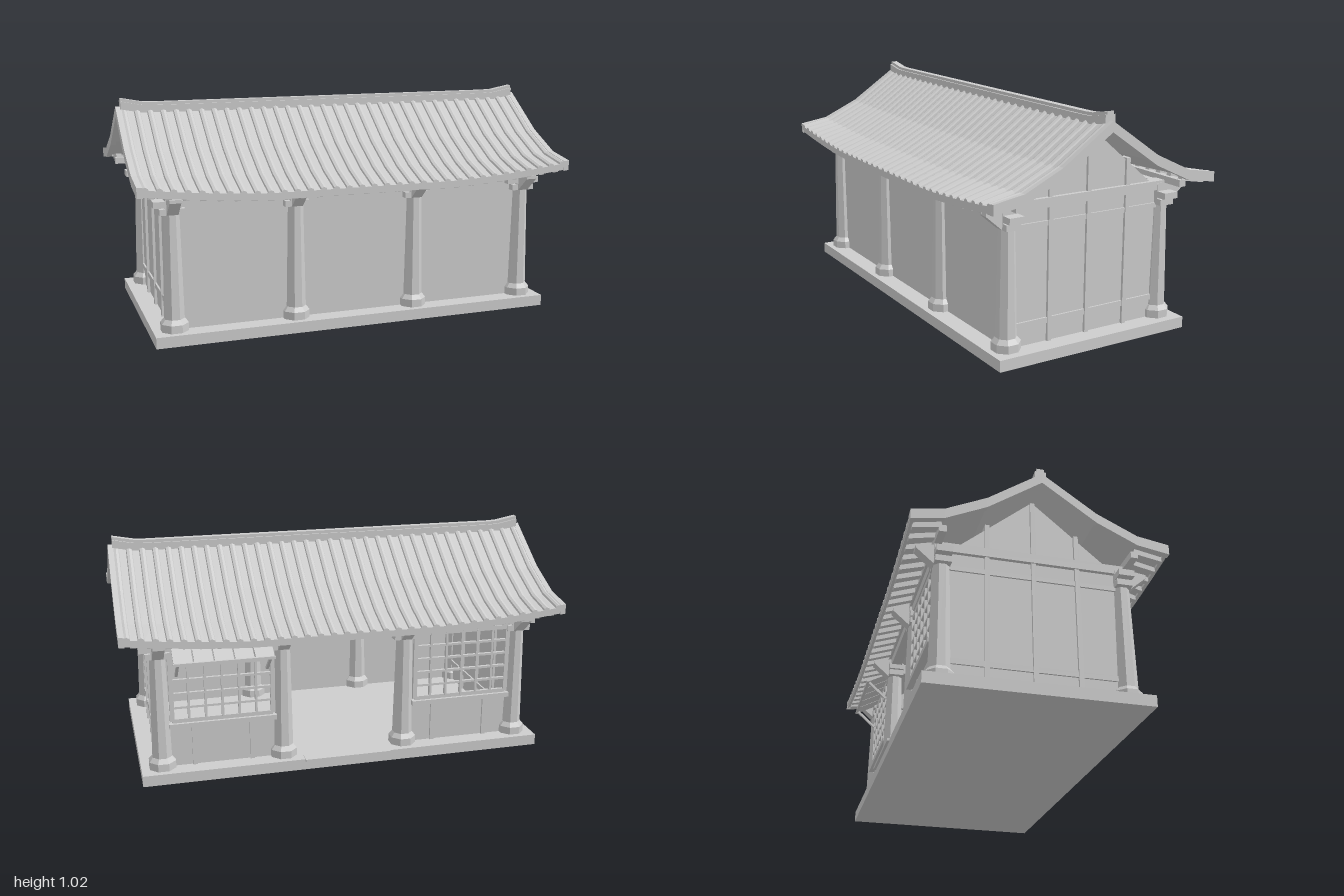
import * as THREE from 'three';

const plaster = new THREE.MeshStandardMaterial({ color: 0xcccccc });
plaster.name = 'pale grey';

export function createModel() {
  const model = new THREE.Group();
  model.name = 'tiledHall';

  const add = (name, geo, parent = model) => {
    const flat = geo.index ? geo.toNonIndexed() : geo;
    flat.computeVertexNormals();
    const mesh = new THREE.Mesh(flat, plaster);
    mesh.name = name;
    parent.add(mesh);
    return mesh;
  };
  // box given by its min and max on each axis
  const box = (name, x0, x1, y0, y1, z0, z1, parent) =>
    add(name, new THREE.BoxGeometry(x1 - x0, y1 - y0, z1 - z0)
      .translate((x0 + x1) / 2, (y0 + y1) / 2, (z0 + z1) / 2), parent);
  // square bar between two points in the y-z plane
  const bar = (name, x, w, h, [z0, y0], [z1, y1], parent) => {
    const g = new THREE.BoxGeometry(w, h, Math.hypot(z1 - z0, y1 - y0));
    g.rotateX(-Math.atan2(y1 - y0, z1 - z0)).translate(x, (y0 + y1) / 2, (z0 + z1) / 2);
    return add(name, g, parent);
  };

  // Base and doorstep
  box('base', -0.93, 0.93, 0, 0.05, -0.475, 0.475);
  box('doorstep', -0.2, 0.2, 0.04, 0.052, -0.487, -0.42);

  // Columns with plinths, capitals and outward brackets
  const bracketShape = new THREE.Shape([[0, 0.565], [0.035, 0.565], [0.11, 0.63], [0.11, 0.645], [0, 0.66]]
    .map(p => new THREE.Vector2(...p)));
  for (const x of [-0.835, -0.285, 0.285, 0.835]) {
    for (const s of [1, -1]) {
      const col = new THREE.Group();
      col.name = 'column';
      col.position.set(x, 0, s * 0.39);
      if (s < 0) col.rotation.y = Math.PI;
      model.add(col);
      const oct = (name, rTop, rBottom, y0, y1) =>
        add(name, new THREE.CylinderGeometry(rTop, rBottom, y1 - y0, 8)
          .rotateY(Math.PI / 8).translate(0, (y0 + y1) / 2, 0), col);
      oct('plinth', 0.063, 0.063, 0.05, 0.085);
      oct('plinthCollar', 0.046, 0.063, 0.085, 0.105);
      oct('shaft', 0.036, 0.046, 0.1, 0.57);
      const wide = Math.abs(x) > 0.5 ? 0.08 : 0.058;
      box('capitalBlock', -0.055, 0.055, 0.565, 0.592, -0.035, 0.035, col);
      box('capitalArm', -wide, wide, 0.597, 0.625, -0.035, 0.035, col);
      box('capitalCore', -0.03, 0.03, 0.565, 0.66, -0.035, 0.035, col);
      add('bracket', new THREE.ExtrudeGeometry(bracketShape, { depth: 0.05, bevelEnabled: false })
        .translate(0, 0, -0.025).rotateY(-Math.PI / 2), col);
    }
    // Cross beams between front and back columns
    if (Math.abs(x) < 0.5) box('crossBeam', x - 0.02, x + 0.02, 0.59, 0.64, -0.39, 0.39);
  }

  // Front wall and long beams
  box('frontWall', -0.835, 0.835, 0.05, 0.63, 0.375, 0.39);
  for (const s of [1, -1]) {
    box('wallPlate', -0.86, 0.86, 0.62, 0.665, s * 0.39 - 0.025, s * 0.39 + 0.025);
    box('purlin', -0.96, 0.96, 0.658, 0.688, s * 0.41 - 0.016, s * 0.41 + 0.016);
  }

  // End walls with timber framing and gables
  const gable = new THREE.Shape([[-0.33, 0.665], [0.33, 0.665], [0, 0.94]].map(p => new THREE.Vector2(...p)));
  for (const s of [1, -1]) {
    const c = s * 0.835;
    box('endWall', c - 0.01, c + 0.01, 0.05, 0.665, -0.39, 0.39);
    add('gable', new THREE.ExtrudeGeometry(gable, { depth: 0.02, bevelEnabled: false })
      .translate(0, 0, -0.01).rotateY(-Math.PI / 2).translate(c, 0, 0));
    for (const [z, top] of [[0.19, 0.793], [0, 0.93], [-0.2, 0.788]])
      box('endStud', c - 0.022, c + 0.022, 0.05, top, z - 0.01, z + 0.01);
    for (const [y0, y1] of [[0.13, 0.155], [0.55, 0.572]])
      box('endRail', c - 0.018, c + 0.018, y0, y1, -0.37, 0.37);
    box('endBeam', c - 0.028, c + 0.028, 0.63, 0.67, -0.4, 0.4);
  }

  // Back bays: low wall, sill and open lattice window
  const latticeBars = (name, x0, x1, y0, y1, z, nx, ny, parent) => {
    for (let i = 0; i <= nx; i++) {
      const x = x0 + (x1 - x0) * i / nx, w = i % nx ? 0.005 : 0.01;
      box(name, x - w, x + w, y0, y1, z - 0.008, z + 0.008, parent);
    }
    for (let j = 0; j <= ny; j++) {
      const y = y0 + (y1 - y0) * j / ny, w = j % ny ? 0.005 : 0.01;
      box(name, x0, x1, y - w, y + w, z - 0.007, z + 0.007, parent);
    }
  };
  for (const s of [1, -1]) {
    const c = s * 0.56;
    const bay = new THREE.Group();
    bay.name = 'windowBay';
    model.add(bay);
    box('lowWall', c - 0.26, c + 0.26, 0.05, 0.25, -0.395, -0.38, bay);
    box('sill', c - 0.24, c + 0.24, 0.24, 0.262, -0.43, -0.375, bay);
    for (const d of [-0.13, 0.13]) box('lowStud', c + d - 0.01, c + d + 0.01, 0.05, 0.25, -0.405, -0.38, bay);
    box('lintel', c - 0.25, c + 0.25, 0.59, 0.63, -0.41, -0.375, bay);
    latticeBars('lattice', c - 0.225, c + 0.225, 0.27, 0.585, -0.41, 6, 5, bay);
  }

  // Propped awning over the left window
  const awning = new THREE.Group();
  awning.name = 'awning';
  model.add(awning);
  for (let i = 0; i < 5; i++)
    bar('awningSlat', 0.56 + (i - 2) * 0.088, 0.082, 0.008, [-0.41, 0.622], [-0.518, 0.565], awning);
  box('awningEdge', 0.34, 0.78, 0.56, 0.572, -0.522, -0.51, awning);
  for (const x of [0.36, 0.76]) bar('awningProp', x, 0.012, 0.012, [-0.42, 0.485], [-0.512, 0.566], awning);

  // Roof: a three-step curved slope whose eaves rise toward the ends
  const slope = [[0, 0.968, 0.005], [0.235, 0.802, 0.01], [0.41, 0.708, 0.022], [0.55, 0.657, 0.05]];
  const roofAt = (x, s) => {
    const i = Math.min(2, Math.max(0, Math.floor(s))), f = s - i;
    const [z, y, lift] = [0, 1, 2].map(k => slope[i][k] * (1 - f) + slope[i + 1][k] * f);
    return [z, y + lift * Math.max(0, (Math.abs(x) - 0.4) / 0.6) ** 1.5];
  };
  // lays a geometry, whose z runs 0 to 3 along the slope, onto the roof curve
  const bend = (g) => {
    const p = g.attributes.position;
    for (let i = 0; i < p.count; i++) {
      const [z, y] = roofAt(p.getX(i), p.getZ(i));
      p.setY(i, p.getY(i) + y);
      p.setZ(i, z);
    }
    return g;
  };
  for (const turn of [0, Math.PI]) {
    const side = new THREE.Group();
    side.name = 'roofSlope';
    side.rotation.y = turn;
    model.add(side);
    add('roofSlab', bend(new THREE.BoxGeometry(1.99, 0.02, 3, 40, 1, 3).translate(0, -0.01, 1.5)), side);
    for (const s of [1, -1])
      add('bargeboard', bend(new THREE.BoxGeometry(0.025, 0.045, 3, 1, 1, 3).translate(s * 0.9875, -0.0125, 1.5)), side);
    const tiles = 34;
    for (let i = 0; i < tiles; i++) {
      const x = -0.965 + 1.93 * i / (tiles - 1);
      add('coverTile', bend(new THREE.CylinderGeometry(0.016, 0.016, 3, 8, 3)
        .rotateX(Math.PI / 2).translate(x, -0.004, 1.5)), side);
    }
    // Eave board and rafter tails
    add('eaveBoard', bend(new THREE.BoxGeometry(1.99, 0.03, 0.1, 40, 1, 1).translate(0, -0.016, 2.93)), side);
    for (let i = 0; i < 27; i++) {
      const x = -0.94 + 1.88 * i / 26;
      const [z0, y0] = roofAt(x, 2.02), [z1, y1] = roofAt(x, 2.9);
      bar('rafterTail', x, 0.026, 0.026, [z0, y0 - 0.03], [z1, y1 - 0.028], side);
    }
  }

  // Ridge with a narrow cap that sweeps up at both ends
  const ridge = (name, w, h, y) => {
    const g = new THREE.BoxGeometry(1.96, h, w, 40, 1, 1).translate(0, y, 0);
    const p = g.attributes.position;
    for (let i = 0; i < p.count; i++)
      p.setY(i, p.getY(i) + Math.max(0, Math.abs(p.getX(i)) - 0.87) * 0.19);
    add(name, g);
  };
  ridge('ridgeBase', 0.048, 0.035, 0.969);
  ridge('ridgeCap', 0.032, 0.02, 0.99);

  return model;
}
